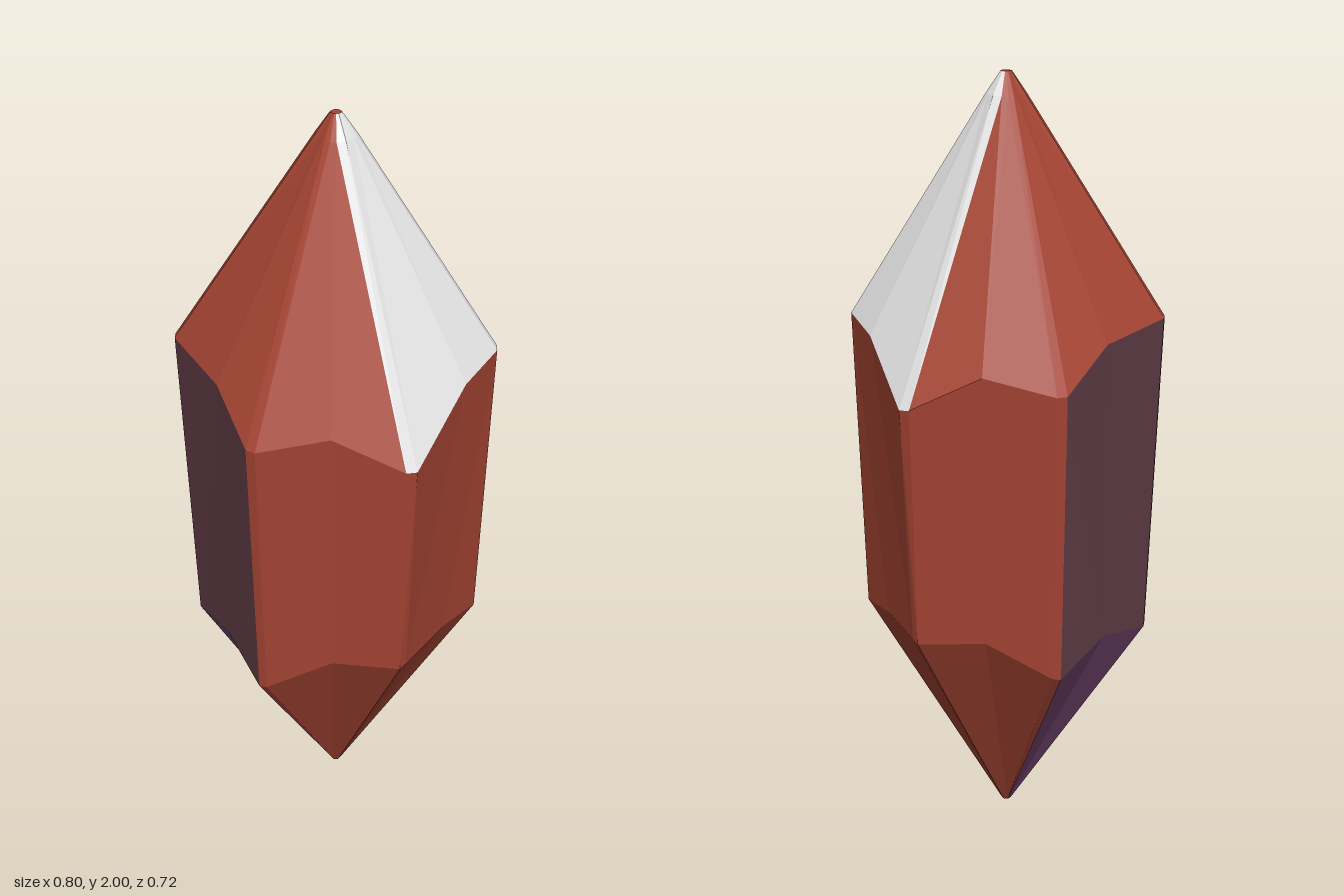
import * as THREE from 'three';

const mat = (name, color) => {
  const m = new THREE.MeshStandardMaterial({ color });
  m.name = name;
  m.flatShading = true;
  return m;
};

// Half outlines (z >= 0) from +x round to -x; mirrored in z to close each ring.
const ring = (half) => [
  ...half.map(([x, y, z]) => new THREE.Vector3(x, y, z)),
  ...half.slice().reverse().map(([x, y, z]) => new THREE.Vector3(x, y, -z)),
];

// Shoulder: where the shaft meets the upper point
const shoulder = ring([
  [0.4, 1.38, 0.012], [0.32, 1.36, 0.145], [0.205, 1.235, 0.345],
  [0.178, 1.24, 0.358], [0, 1.33, 0.358], [-0.18, 1.29, 0.358],
  [-0.203, 1.29, 0.345], [-0.28, 1.38, 0.2], [-0.4, 1.4, 0.012],
]);
// Waist: where the shaft meets the lower point
const waist = ring([
  [0.375, 0.58, 0.012], [0.29, 0.605, 0.14], [0.19, 0.61, 0.305],
  [0.175, 0.605, 0.32], [0, 0.62, 0.32], [-0.17, 0.535, 0.32],
  [-0.19, 0.53, 0.31], [-0.28, 0.59, 0.165], [-0.37, 0.555, 0.012],
]);
// Neck: just below the upper tip
const neck = ring([
  [0.05, 1.945, 0.01], [0.042, 1.945, 0.024], [0.025, 1.945, 0.045],
  [0.003, 1.945, 0.05], [-0.012, 1.945, 0.048], [-0.025, 1.945, 0.042],
  [-0.03, 1.945, 0.036], [-0.038, 1.945, 0.022], [-0.05, 1.945, 0.01],
]);
const shrink = (r, s, y) => r.map((p) => new THREE.Vector3(p.x * s, y, p.z * s));
const topTip = shrink(neck, 0.27, 2);
const bottomTip = shrink(waist, 0.035, 0);

const ALL = [...Array(18).keys()];
const RIGHT = [0, 1, 2, 14, 15, 16, 17]; // facets facing +x
const LEFT = [6, 7, 8, 9, 10]; // facets facing -x
const without = (list) => ALL.filter((s) => !list.includes(s));

// Facets between a lower and an upper ring; diagonals mirror across z.
function band(lower, upper, segments) {
  const out = [];
  for (const s of segments) {
    const n = (s + 1) % 18;
    const [p0, p1, q0, q1] = [lower[s], lower[n], upper[s], upper[n]];
    if (s <= 8) out.push(p0, q0, p1, p1, q0, q1);
    else out.push(p0, q1, p1, p0, q0, q1);
  }
  return out;
}

// Flat lid closing a ring, facing up or down
function cap(r, up) {
  const c = new THREE.Vector3(0, r[0].y, 0);
  return ALL.flatMap((s) => {
    const n = r[(s + 1) % 18];
    return up ? [c, n, r[s]] : [c, r[s], n];
  });
}

export function createModel() {
  const red = mat('brick red', 0xa54433);
  const white = mat('pale grey', 0xe9e9e9);
  const plum = mat('dusky plum', 0x613d46);
  const violet = mat('muted violet', 0x7c4a79);

  const crystal = new THREE.Group();
  crystal.name = 'crystal';
  const add = (name, points, material) => {
    const g = new THREE.BufferGeometry().setFromPoints(points);
    g.computeVertexNormals();
    const m = new THREE.Mesh(g, material);
    m.name = name;
    crystal.add(m);
  };

  // Shaft
  add('shaft', band(waist, shoulder, without(LEFT)), red);
  add('shaftLeftFacets', band(waist, shoulder, LEFT), plum);

  // Upper point, with the pale side facing +x
  const point = (segs) => [...band(shoulder, neck, segs), ...band(neck, topTip, segs)];
  add('upperPoint', [...point(without(RIGHT)), ...cap(topTip, true)], red);
  add('upperPointPaleFacets', point(RIGHT), white);

  // Lower point, with the violet side facing -x
  add('lowerPoint', [...band(bottomTip, waist, without(LEFT)), ...cap(bottomTip, false)], red);
  add('lowerPointVioletFacets', band(bottomTip, waist, LEFT), violet);

  return crystal;
}
